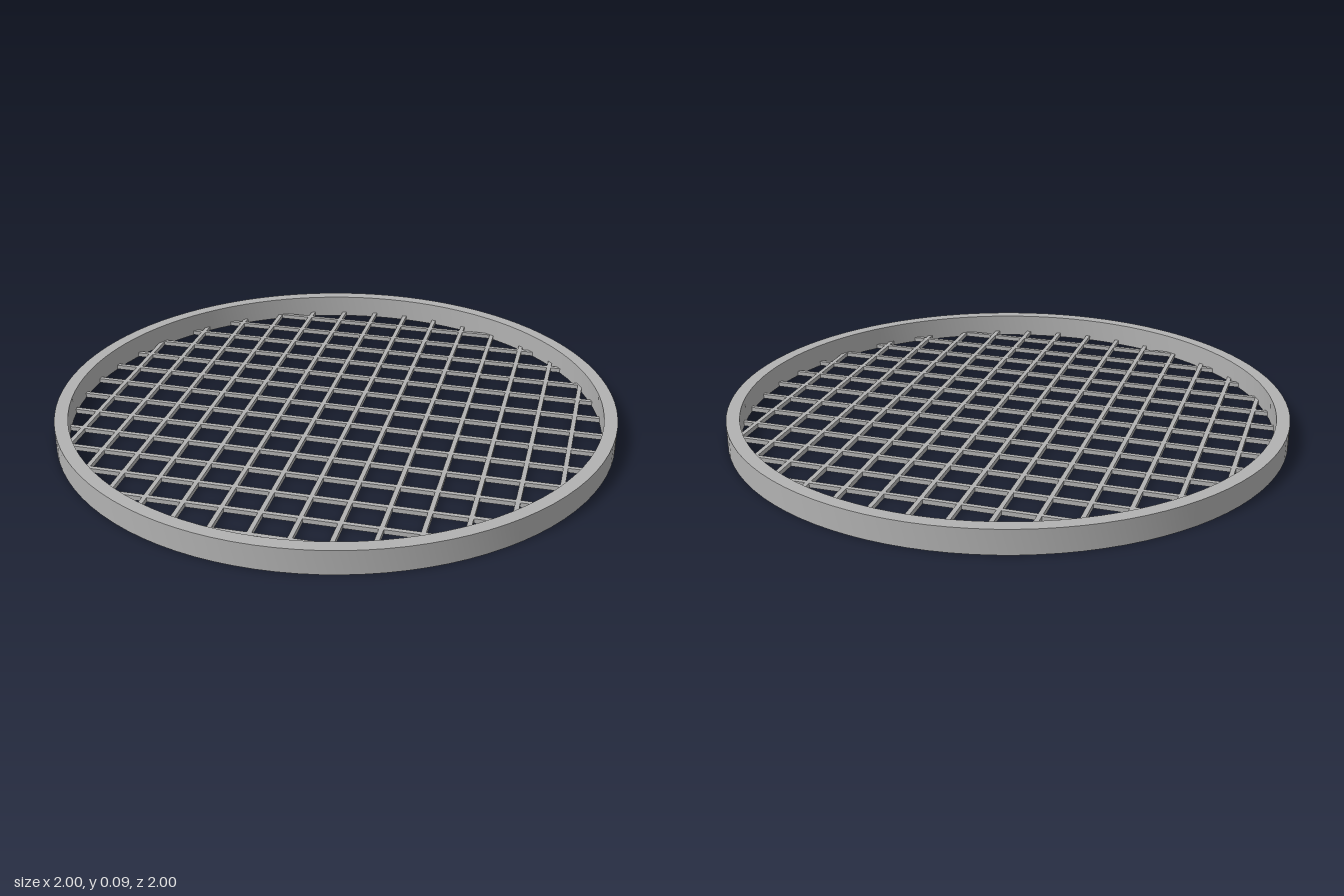
import * as THREE from 'three';
import { toCreasedNormals } from 'three/addons/utils/BufferGeometryUtils.js';

const OUTER = 1, INNER = 0.953, HEIGHT = 0.085;
const BAR = 0.016, SPACING = 0.13, BARS = 14;

export function createModel() {
  const model = new THREE.Group();
  model.name = 'roundGrate';
  const steel = new THREE.MeshStandardMaterial({ color: 0xb2b2b2 });
  steel.name = 'grey steel';

  // Circular rim: closed rectangular section turned about y
  const section = [
    [INNER, 0], [OUTER, 0], [OUTER, HEIGHT], [INNER, HEIGHT], [INNER, 0],
  ].map(([r, y]) => new THREE.Vector2(r, y));
  const rim = new THREE.Mesh(toCreasedNormals(new THREE.LatheGeometry(section, 96), 0.6), steel);
  rim.name = 'rim';
  model.add(rim);

  // Two crossing sets of square bars, each cut to the chord of the rim
  for (const direction of ['lengthwise', 'crosswise']) {
    const set = new THREE.Group();
    set.name = direction + 'Bars';
    for (let i = 0; i < BARS; i++) {
      const offset = (i - (BARS - 1) / 2) * SPACING;
      const reach = Math.sqrt((INNER + 0.012) ** 2 - offset ** 2);
      const bar = new THREE.Mesh(new THREE.BoxGeometry(BAR, BAR, 2 * reach), steel);
      bar.name = 'bar';
      bar.position.set(offset, BAR / 2 + 0.001, 0);
      set.add(bar);
    }
    if (direction === 'crosswise') set.rotation.y = Math.PI / 2;
    model.add(set);
  }
  return model;
}
